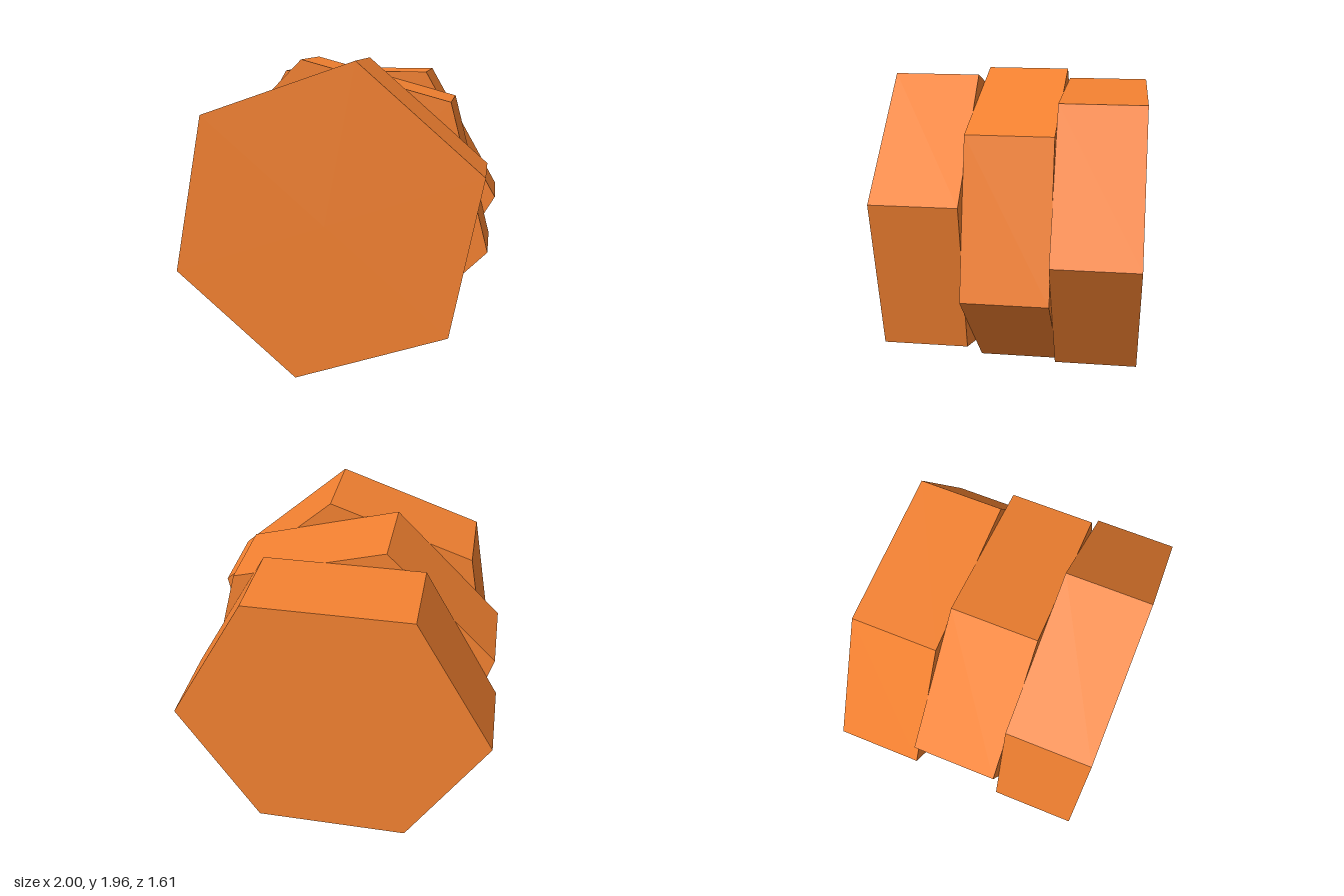
import * as THREE from 'three';

const RADIUS = 1;
const DEPTH = 0.536;
const CENTRE_Y = 0.982;

// Hexagonal slab facing z; the angle (degrees) places one corner from +x.
function hexSlab(name, z, angle, material) {
  const geometry = new THREE.CylinderGeometry(RADIUS, RADIUS, DEPTH, 6);
  geometry.rotateX(Math.PI / 2);
  geometry.rotateZ(THREE.MathUtils.degToRad(angle + 30));
  const mesh = new THREE.Mesh(geometry, material);
  mesh.name = name;
  mesh.position.set(0, CENTRE_Y, z);
  return mesh;
}

export function createModel() {
  const group = new THREE.Group();
  group.name = 'twistedHexStack';
  const orange = new THREE.MeshStandardMaterial({ color: 0xf58231, flatShading: true });

  // Three equal slabs, each turned differently about the z axis
  group.add(
    hexSlab('backSlab', -DEPTH, 0, orange),
    hexSlab('middleSlab', 0, -15, orange),
    hexSlab('frontSlab', DEPTH, 19.1, orange)
  );
  return group;
}
